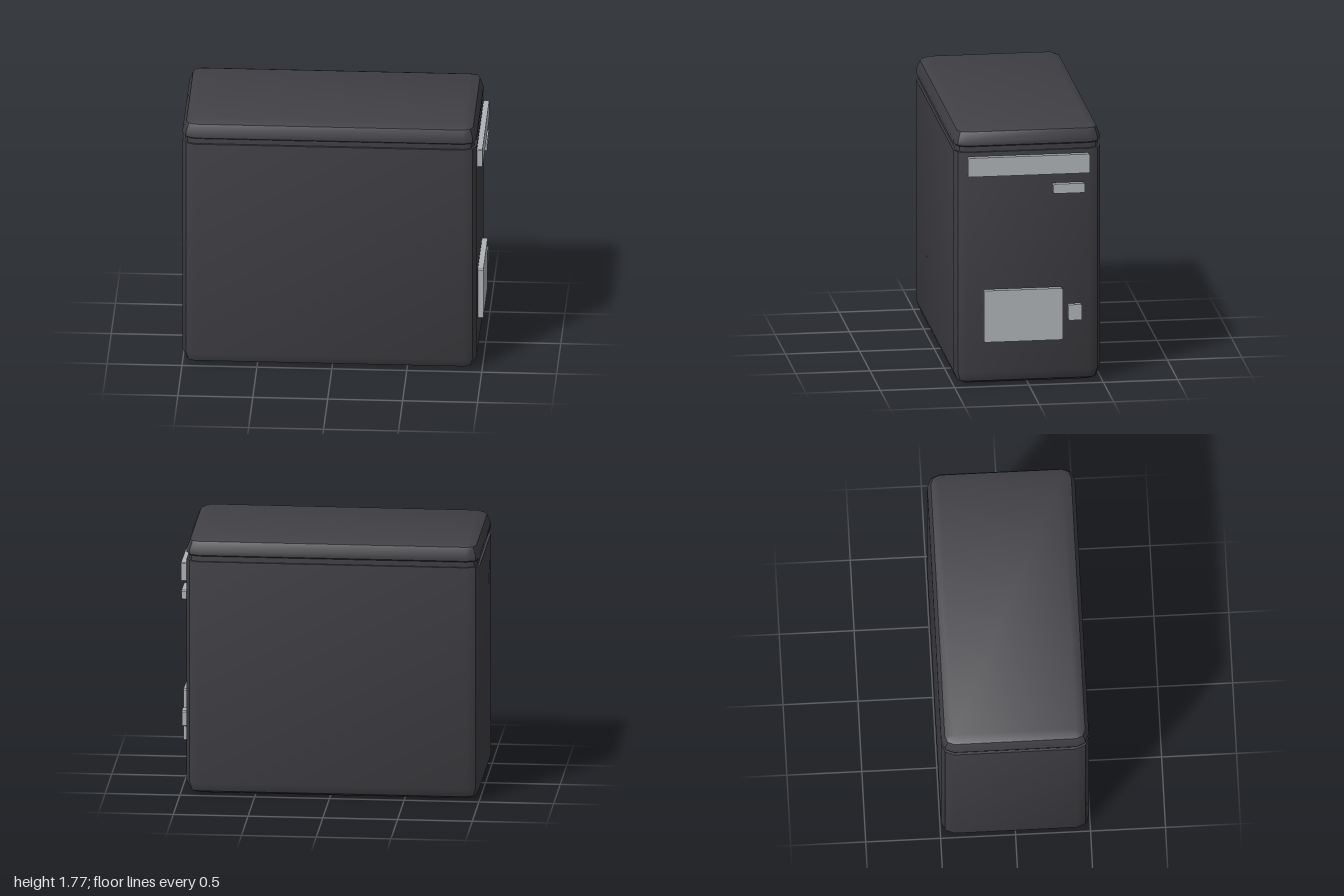
import * as THREE from 'three';
import { toCreasedNormals } from 'three/addons/utils/BufferGeometryUtils.js';

const CX = -0.0185, CORE_X = 0.8965, CORE_Z = 0.408; // rectangle through the corner centres

// One ring of a rounded rectangle: core rectangle grown by r, two facets per corner
function ring(y, r) {
  const points = [];
  for (let q = 0; q < 4; q++) {
    const sx = q === 0 || q === 3 ? 1 : -1, sz = q < 2 ? 1 : -1;
    for (let k = 0; k < 3; k++) {
      const a = (q + k / 2) * Math.PI / 2;
      points.push(new THREE.Vector3(CX + sx * CORE_X + r * Math.cos(a), y, sz * CORE_Z + r * Math.sin(a)));
    }
  }
  return points;
}

// Joins [y, r] rings into a shell; an end ring with r = 0 is closed by a flat cap
function shell(profile) {
  const rings = profile.map(([y, r]) => ring(y, r));
  const pos = [];
  const tri = (a, b, c) => {
    const n = b.clone().sub(a).cross(c.clone().sub(a));
    if (n.length() > 1e-8) for (const p of [a, b, c]) pos.push(p.x, p.y, p.z);
  };
  for (let i = 0; i < rings.length - 1; i++) {
    const lo = rings[i], hi = rings[i + 1];
    for (let j = 0; j < 12; j++) {
      const k = (j + 1) % 12;
      tri(lo[j], hi[j], lo[k]);
      tri(lo[k], hi[j], hi[k]);
    }
  }
  const first = rings[0], last = rings[rings.length - 1];
  if (profile[0][1] === 0) {
    tri(first[0], first[3], first[6]);
    tri(first[0], first[6], first[9]);
  }
  if (profile[profile.length - 1][1] === 0) {
    tri(last[0], last[6], last[3]);
    tri(last[0], last[9], last[6]);
  }
  const geo = new THREE.BufferGeometry();
  geo.setAttribute('position', new THREE.Float32BufferAttribute(pos, 3));
  return toCreasedNormals(geo, 0.6);
}

// Raised plate on the +x side with slightly clipped corners
function plate(z0, z1, y0, y1) {
  const c = 0.007, a = -z1, b = -z0;
  const shape = new THREE.Shape([
    [a + c, y0], [b - c, y0], [b, y0 + c], [b, y1 - c],
    [b - c, y1], [a + c, y1], [a, y1 - c], [a, y0 + c],
  ].map(([x, y]) => new THREE.Vector2(x, y)));
  const geo = new THREE.ExtrudeGeometry(shape, { depth: 0.04, bevelEnabled: false });
  return geo.rotateY(Math.PI / 2).translate(0.96, 0, 0);
}

export function createModel() {
  const model = new THREE.Group();
  model.name = 'case';
  const charcoal = new THREE.MeshStandardMaterial({ color: 0x414045 });
  charcoal.name = 'charcoal';
  const paleGrey = new THREE.MeshStandardMaterial({ color: 0xb0b4b8 });
  paleGrey.name = 'paleGrey';

  const add = (name, geo, mat) => {
    const mesh = new THREE.Mesh(geo, mat);
    mesh.name = name;
    model.add(mesh);
  };

  // Bevelled box, recessed seam and bevelled lid
  add('body', shell([[0, 0], [0.025, 0.06], [0.085, 0.085], [1.61, 0.085], [1.61, 0.07]]), charcoal);
  add('seam', shell([[1.61, 0.07], [1.645, 0.07]]), charcoal);
  add('lid', shell([[1.645, 0.07], [1.655, 0.085], [1.685, 0.085], [1.745, 0.06], [1.77, 0]]), charcoal);

  // Plates on the side
  add('topStrip', plate(-0.41, 0.41, 1.45, 1.58), paleGrey);
  add('smallStrip', plate(-0.377, -0.163, 1.315, 1.38), paleGrey);
  add('largePanel', plate(-0.227, 0.302, 0.305, 0.66), paleGrey);
  add('smallButton', plate(-0.358, -0.265, 0.436, 0.543), paleGrey);
  return model;
}
